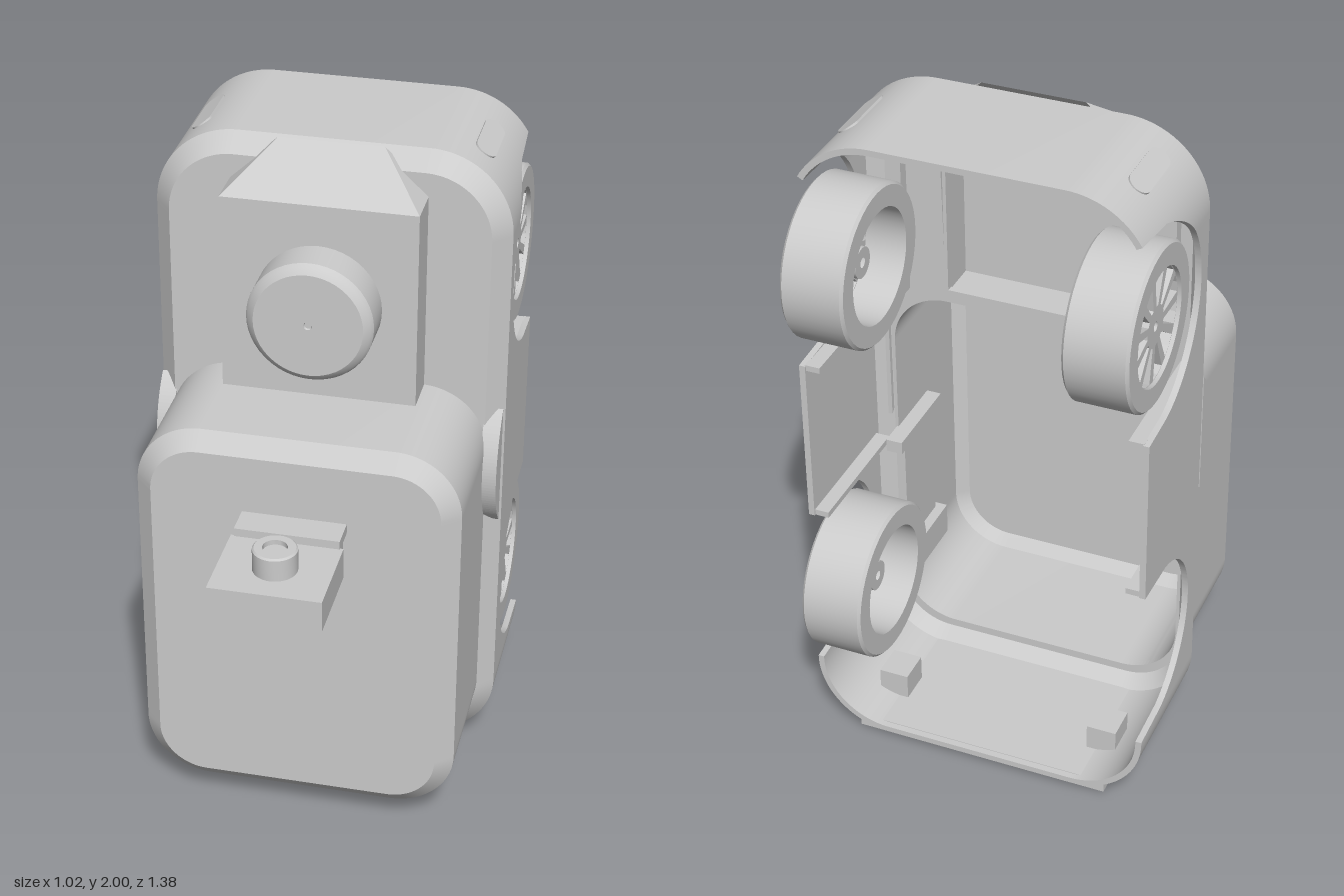
import * as THREE from 'three';
import { toCreasedNormals } from 'three/addons/utils/BufferGeometryUtils.js';

const material = new THREE.MeshStandardMaterial({ color: 0xcccccc, side: THREE.DoubleSide });

function add(parent, name, geometry, x = 0, y = 0, z = 0) {
  const mesh = new THREE.Mesh(geometry, material);
  mesh.name = name;
  mesh.position.set(x, y, z);
  parent.add(mesh);
  return mesh;
}

// Box given by its limits
function block(parent, name, x0, x1, y0, y1, z0, z1) {
  return add(parent, name, new THREE.BoxGeometry(Math.abs(x1 - x0), y1 - y0, z1 - z0),
    (x0 + x1) / 2, (y0 + y1) / 2, (z0 + z1) / 2);
}

// Counter-clockwise rounded rectangle: points with outward normals
function outline(w, y0, y1, rTop, rBottom) {
  const pts = [];
  const corners = [[1, 1, rTop, 0], [-1, 1, rTop, 1], [-1, -1, rBottom, 2], [1, -1, rBottom, 3]];
  for (const [sx, sy, r, q] of corners) {
    const cx = sx * (w - r), cy = sy > 0 ? y1 - r : y0 + r;
    for (let i = 0; i <= 24; i++) {
      const a = (q + i / 24) * Math.PI / 2, nx = Math.cos(a), ny = Math.sin(a);
      pts.push({ x: cx + r * nx, y: cy + r * ny, nx, ny });
    }
    // Dense points down and up the sides, so that the arches can be cut
    if (q === 1 || q === 3) {
      const from = q === 1 ? y1 - rTop : y0 + rBottom, to = q === 1 ? y0 + rBottom : y1 - rTop;
      for (let i = 1; i < 200; i++) pts.push({ x: sx * w, y: from + (to - from) * i / 200, nx: sx, ny: 0 });
    }
  }
  return pts;
}

const inset = (pts, d) => pts.map(p => new THREE.Vector2(p.x - p.nx * d, p.y - p.ny * d));

// Wall swept round an outline; section(p) gives [inset, z] pairs
function wall(pts, section) {
  const pos = [], index = [], m = section(pts[0]).length, n = pts.length;
  for (const p of pts) {
    for (const [d, z] of section(p)) pos.push(p.x - p.nx * d, p.y - p.ny * d, z);
  }
  for (let i = 0; i < n; i++) {
    for (let j = 0; j < m - 1; j++) {
      const a = i * m + j, b = ((i + 1) % n) * m + j;
      index.push(a, a + 1, b, b, a + 1, b + 1);
    }
  }
  const g = new THREE.BufferGeometry();
  g.setAttribute('position', new THREE.Float32BufferAttribute(pos, 3));
  g.setIndex(index);
  return toCreasedNormals(g, 0.5);
}

function plate(points, holes, depth) {
  const shape = new THREE.Shape(points);
  shape.holes = holes.map(h => new THREE.Path(h));
  return new THREE.ExtrudeGeometry(shape, { depth, bevelEnabled: false, curveSegments: 24 });
}

const ARCHES = [[1.58, 0.295, -0.485], [0.51, 0.26, -0.46]];

// Rear edge of the body, cut away by the wheel arches
function rearEdge(p) {
  if (Math.abs(p.x) > 0.33) {
    for (const [y, r, z] of ARCHES) {
      const dy = p.y - y;
      if (Math.abs(dy) < r) return z + Math.sqrt(r * r - dy * dy);
    }
  }
  return -0.57;
}

function lathe(points, segments = 48) {
  const g = new THREE.LatheGeometry(points.map(p => new THREE.Vector2(...p)), segments);
  g.rotateX(Math.PI / 2);
  return toCreasedNormals(g, 0.5);
}

// Wheel with its outer face towards local +z
function createWheel() {
  const wheel = new THREE.Group();
  wheel.name = 'wheel';
  add(wheel, 'tyre', lathe([[0.165, -0.092], [0.225, -0.092], [0.233, -0.084], [0.233, 0.084],
    [0.225, 0.092], [0.165, 0.092], [0.165, -0.092]]));
  const polar = (r, a) => new THREE.Vector2(r * Math.cos(a), r * Math.sin(a));
  const disc = [], bore = [], slots = [], count = 11;
  for (let i = 0; i < 48; i++) {
    disc.push(polar(0.17, i / 48 * Math.PI * 2));
    bore.push(polar(0.014, i / 48 * Math.PI * 2));
  }
  for (let i = 0; i < count; i++) {
    const a = (i + 0.5) / count * Math.PI * 2;
    slots.push([polar(0.06, a - 0.12), polar(0.163, a - 0.2), polar(0.164, a), polar(0.163, a + 0.2), polar(0.06, a + 0.12)]);
  }
  add(wheel, 'spokes', plate(disc, [bore, ...slots], 0.05), 0, 0, 0.03);
  add(wheel, 'hub', lathe([[0.014, -0.04], [0.045, -0.04], [0.045, 0.03]], 24));
  return wheel;
}

export function createModel() {
  const model = new THREE.Group();
  model.name = 'vehicleShell';

  // Hollow body, open at the back
  const body = outline(0.51, 0.02, 2, 0.24, 0.22);
  const cab = outline(0.465, 0.08, 1.29, 0.19, 0.19);
  add(model, 'bodyShell', wall(body, p => {
    const z = rearEdge(p);
    return [[0.05, -0.085], [0, -0.14], [0, z], [0.018, z], [0.018, -0.145], [0.055, -0.105]];
  }));
  const opening = [[-0.27, 1.31], [0.27, 1.31], [0.27, 1.88], [-0.27, 1.88]].map(p => new THREE.Vector2(...p));
  add(model, 'bodyFace', plate(inset(body, 0.05), [inset(cab, 0.02), opening], 0.02), 0, 0, -0.105);
  block(model, 'bottomPlate', -0.39, 0.39, 0, 0.04, -0.55, -0.085);

  // Hollow front box
  add(model, 'frontBoxWall', wall(cab, () =>
    [[0.05, 0.34], [0, 0.295], [0, -0.1], [0.02, -0.1], [0.02, 0.29], [0.055, 0.32]]));
  add(model, 'frontBoxFace', plate(inset(cab, 0.05), [], 0.02), 0, 0, 0.32);

  // Upper housing with sloped top, open at the back
  const v = [];
  const face = (...c) => { for (let i = 1; i < c.length - 1; i++) v.push(...c[0], ...c[i], ...c[i + 1]); };
  face([-0.28, 1.29, 0.04], [0.28, 1.29, 0.04], [0.28, 1.88, 0.04], [-0.28, 1.88, 0.04]);
  face([-0.28, 1.88, 0.04], [0.28, 1.88, 0.04], [0.15, 2, -0.12], [-0.15, 2, -0.12]);
  face([0.28, 1.29, 0.04], [0.28, 1.29, -0.1], [0.28, 1.88, -0.12], [0.28, 1.88, 0.04]);
  face([-0.28, 1.29, -0.1], [-0.28, 1.29, 0.04], [-0.28, 1.88, 0.04], [-0.28, 1.88, -0.12]);
  face([0.28, 1.88, 0.04], [0.28, 1.88, -0.12], [0.15, 2, -0.12]);
  face([-0.28, 1.88, -0.12], [-0.28, 1.88, 0.04], [-0.15, 2, -0.12]);
  face([-0.28, 1.29, -0.1], [0.28, 1.29, -0.1], [0.28, 1.29, 0.04], [-0.28, 1.29, 0.04]);
  const housing = new THREE.BufferGeometry();
  housing.setAttribute('position', new THREE.Float32BufferAttribute(v, 3));
  housing.computeVertexNormals();
  add(model, 'upperHousing', housing);

  // Round knob on the housing
  add(model, 'roundKnob', lathe([[0.18, 0], [0.18, 0.105], [0.172, 0.118], [0.155, 0.13], [0.012, 0.13], [0.01, 0.124], [0, 0.124]]), 0, 1.58, 0.04);

  // Bracket on the front box
  block(model, 'bracketNeck', -0.14, 0.14, 0.945, 1.04, 0.33, 0.43);
  block(model, 'bracketStrip', -0.15, 0.15, 1.035, 1.065, 0.33, 0.43);
  block(model, 'bracketBlock', -0.16, 0.16, 0.945, 1.04, 0.425, 0.69);
  const peg = lathe([[0.063, 0], [0.063, 0.065], [0.058, 0.07], [0.035, 0.07], [0.035, 0.055], [0, 0.055]], 32);
  peg.rotateX(-Math.PI / 2);
  add(model, 'bracketPeg', peg, 0, 1.04, 0.56);

  // Three wheels; the lower right one is absent
  for (const [side, y] of [[1, 1.58], [-1, 1.58], [1, 0.51]]) {
    const wheel = createWheel();
    wheel.position.set(side * 0.398, y, -0.456);
    wheel.rotation.y = side * Math.PI / 2;
    model.add(wheel);
  }

  // Curved side bulges
  const bulge = new THREE.Shape();
  bulge.absarc(0.285, 1.03, 0.25, Math.PI - 0.85, Math.PI + 0.85, false);
  const bulgeGeometry = new THREE.ExtrudeGeometry(bulge, { depth: 0.05, bevelEnabled: false, curveSegments: 20 });

  // Raised oval lamp
  const oval = new THREE.Shape();
  oval.absarc(0, 0.07, 0.033, 0, Math.PI, false);
  oval.absarc(0, -0.07, 0.033, Math.PI, Math.PI * 2, false);
  const lampGeometry = new THREE.ExtrudeGeometry(oval, { depth: 0.012, bevelEnabled: false });
  lampGeometry.rotateX(Math.PI / 2);

  for (const s of [1, -1]) {
    const side = s > 0 ? 'left' : 'right';
    add(model, side + 'Bulge', bulgeGeometry, s > 0 ? 0.456 : -0.506).rotation.y = Math.PI / 2;
    for (const [cx, cy, r, a] of [[0.27, 1.76, 0.24, 0.97], [0.29, 0.24, 0.22, -0.75]]) {
      const rr = r + 0.004;
      const lamp = add(model, side + 'Lamp', lampGeometry, s * (cx + rr * Math.cos(a)), cy + rr * Math.sin(a), -0.33);
      lamp.rotation.z = s * (a - Math.PI / 2);
    }
    // Inner lips, ribs and corner brackets
    block(model, side + 'LowerLip', s * 0.45, s * 0.495, 0.772, 0.79, -0.565, -0.16);
    block(model, side + 'UpperLip', s * 0.45, s * 0.495, 1.265, 1.283, -0.565, -0.16);
    block(model, side + 'InnerRib', s * 0.39, s * 0.42, 1.29, 1.87, -0.14, -0.1);
    block(model, side + 'CornerBracket', s * 0.29, s * 0.38, 0.04, 0.12, -0.43, -0.33);
  }

  // Inner fittings
  block(model, 'innerBar', 0.4, 0.45, 0.75, 0.79, -0.18, 0.1);
  block(model, 'innerPlate', 0.42, 0.44, 0.36, 0.76, -0.12, 0.08);
  block(model, 'innerBracket', 0.39, 0.45, 0.27, 0.37, -0.15, 0.1);
  add(model, 'innerDisc', new THREE.CylinderGeometry(0.15, 0.15, 0.03, 40), 0, 1.97, -0.37);

  return model;
}
